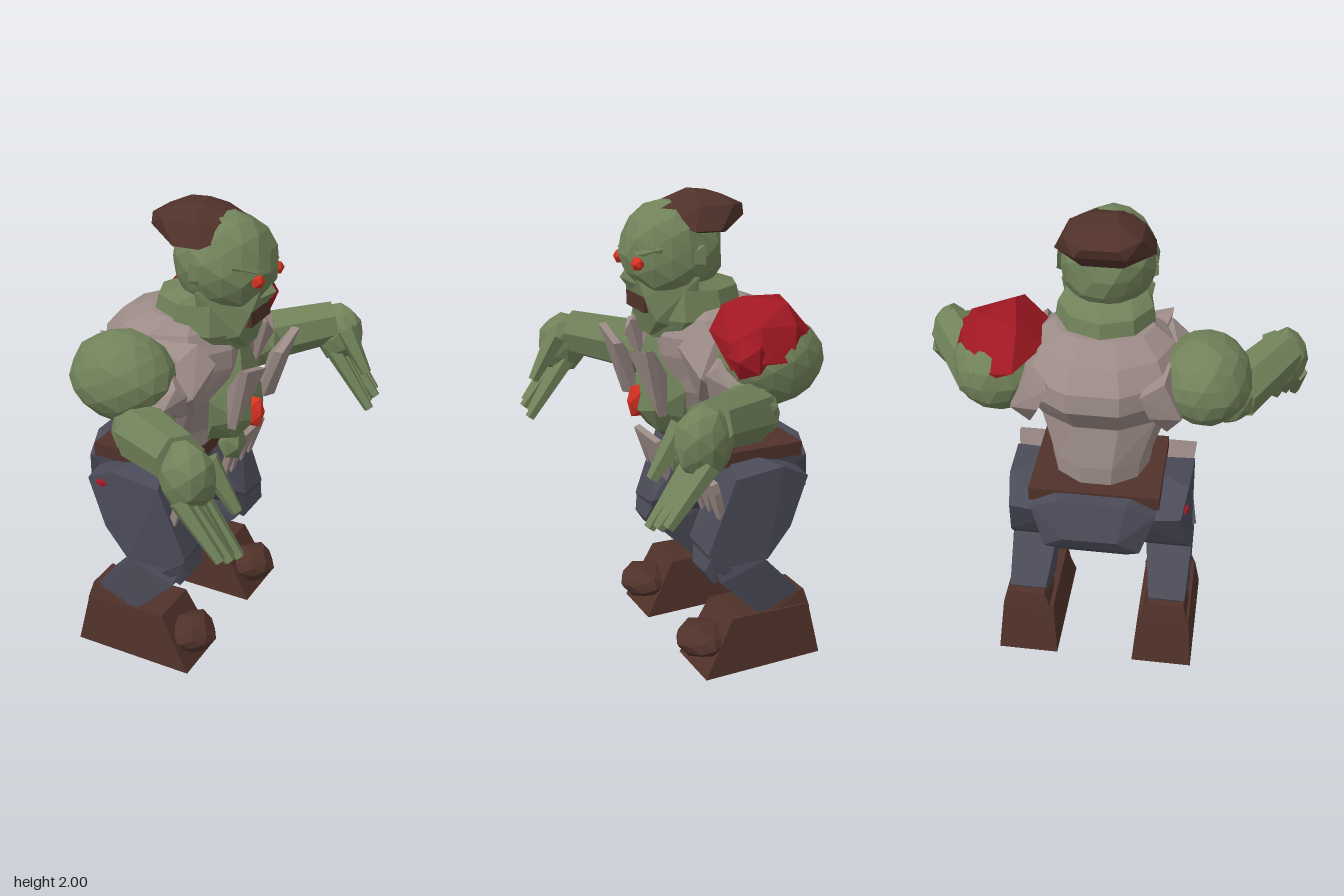
import * as THREE from 'three';
import { ConvexGeometry } from 'three/addons/geometries/ConvexGeometry.js';

const mat = (color) => new THREE.MeshStandardMaterial({ color, flatShading: true, side: THREE.DoubleSide });
const V = (p) => new THREE.Vector3(...p);

export function createModel() {
  const root = new THREE.Group();
  const skin = mat(0x71825a), shirt = mat(0x9c8b87), jeans = mat(0x4b4b59);
  const brown = mat(0x50322a), blood = mat(0xa01822), glow = mat(0xd83222);

  const add = (name, geo, m) => {
    const mesh = new THREE.Mesh(geo, m);
    mesh.name = name;
    root.add(mesh);
    return mesh;
  };

  // Faceted lump; the wobble depends on position so shared corners stay together
  const lump = (name, c, r, m, rough = 0.06, detail = 1) => {
    const g = new THREE.IcosahedronGeometry(1, detail);
    const p = g.attributes.position;
    for (let i = 0; i < p.count; i++) {
      const v = new THREE.Vector3().fromBufferAttribute(p, i);
      const k = 1 + rough * Math.sin(7 * v.x + 11 * v.y + 5 * v.z + c[0] * 9);
      p.setXYZ(i, v.x * r[0] * k + c[0], v.y * r[1] * k + c[1], v.z * r[2] * k + c[2]);
    }
    g.computeVertexNormals();
    return add(name, g, m);
  };

  // Hull over a few corners, z multiplied by the side
  const hull = (name, pts, m, s = 1) =>
    add(name, new ConvexGeometry(pts.map(([x, y, z]) => new THREE.Vector3(x, y, z * s))), m);

  // Same corners on both sides of the middle plane
  const both = (pts) => pts.flatMap(([x, y, z]) => [[x, y, z], [x, y, -z]]);

  // Tapered limb from a to b
  const limb = (name, a, b, ra, rb, m, sides = 7) => {
    const A = V(a), B = V(b), d = B.clone().sub(A);
    const mesh = add(name, new THREE.CylinderGeometry(rb, ra, d.length(), sides), m);
    mesh.position.copy(A).add(B).multiplyScalar(0.5);
    mesh.quaternion.setFromUnitVectors(new THREE.Vector3(0, 1, 0), d.normalize());
    return mesh;
  };

  // Loft through level oval sections [y, xMin, xMax, halfDepth]
  const loft = (name, sections, n, m) => {
    const pos = [], idx = [];
    for (const [y, x0, x1, hz] of sections)
      for (let i = 0; i < n; i++) {
        const t = ((i + 0.5) / n) * Math.PI * 2;
        pos.push((x0 + x1) / 2 + ((x1 - x0) / 2) * Math.cos(t) * 1.03, y, -hz * Math.sin(t) * 1.03);
      }
    for (let j = 0; j < sections.length - 1; j++)
      for (let i = 0; i < n; i++) {
        const a = j * n + i, b = j * n + ((i + 1) % n);
        idx.push(a, b, b + n, a, b + n, a + n);
      }
    const top = (sections.length - 1) * n;
    for (let i = 1; i < n - 1; i++) idx.push(0, i + 1, i, top, top + i, top + i + 1);
    const g = new THREE.BufferGeometry();
    g.setAttribute('position', new THREE.Float32BufferAttribute(pos, 3));
    g.setIndex(idx);
    g.computeVertexNormals();
    return add(name, g, m);
  };

  // Torso, open belly and wound
  loft('torso', [
    [0.88, -0.34, 0.02, 0.19], [1.02, -0.34, 0.05, 0.21], [1.2, -0.31, 0.14, 0.28],
    [1.35, -0.43, 0.18, 0.33], [1.43, -0.42, 0.18, 0.33], [1.51, -0.35, 0.14, 0.28], [1.56, -0.22, 0.08, 0.2],
  ], 10, shirt);
  hull('belly', both([
    [0.18, 1.41, 0.04], [0.1, 1.4, 0.1], [0.21, 1.28, 0.08], [0.1, 1.2, 0.16], [0.22, 1.12, 0.11],
    [0.25, 1.1, 0.03], [0.1, 1.08, 0.14], [0.18, 1.01, 0.06], [0.05, 0.98, 0.08],
  ]), skin);
  lump('wound', [0.24, 1.13, 0.02], [0.05, 0.075, 0.035], glow, 0.1, 0);

  // Neck and head
  loft('neck', [
    [1.42, -0.12, 0.2, 0.15], [1.5, -0.22, 0.22, 0.21], [1.62, -0.19, 0.2, 0.19], [1.66, -0.08, 0.2, 0.16],
  ], 9, skin);
  lump('head', [0.09, 1.76, 0], [0.215, 0.21, 0.2], skin, 0.03, 2);
  hull('jaw', both([
    [0.21, 1.43, 0.05], [0.25, 1.6, 0.09], [0.05, 1.45, 0.15], [0.05, 1.68, 0.19], [0.27, 1.68, 0.06], [0.21, 1.5, 0.12],
  ]), skin);
  hull('nose', [[0.26, 1.74, 0], [0.26, 1.64, 0.035], [0.26, 1.64, -0.035], [0.315, 1.67, 0], [0.27, 1.61, 0]], skin);
  add('mouth', new THREE.BoxGeometry(0.05, 0.065, 0.18), brown).position.set(0.225, 1.565, 0);
  hull('hair', both([
    [-0.12, 1.83, 0.08], [0.02, 1.84, 0.13], [0.07, 1.86, 0.19], [-0.04, 1.86, 0.2], [-0.19, 1.9, 0.1], [-0.2, 1.94, 0.07],
    [-0.12, 1.95, 0.15], [0.03, 1.95, 0.15], [0.14, 1.89, 0.13], [0.16, 1.94, 0.06], [-0.1, 1.985, 0.07], [0, 2, 0.04],
  ]), brown);

  // Belt and the lump hanging at its front
  add('belt', new THREE.BoxGeometry(0.43, 0.06, 0.54), brown).position.set(-0.185, 0.91, 0);
  lump('waistLump', [0.09, 0.9, -0.08], [0.06, 0.085, 0.09], skin, 0.05, 0);

  // Hips
  hull('hips', both([
    [-0.515, 0.78, 0.11], [-0.46, 0.93, 0.14], [-0.42, 0.64, 0.14], [-0.47, 0.7, 0.2], [-0.43, 0.87, 0.26],
    [-0.05, 0.93, 0.24], [-0.02, 0.8, 0.1], [-0.1, 0.64, 0.08], [-0.2, 0.65, 0.2],
  ]), jeans);

  for (const s of [1, -1]) {
    // Face details
    lump('eye', [0.275, 1.735, 0.09 * s], [0.03, 0.03, 0.038], glow, 0.1, 0);
    hull('brow', [[0.2, 1.8, 0.17], [0.29, 1.79, 0.04], [0.24, 1.84, 0.1], [0.28, 1.77, 0.1], [0.2, 1.76, 0.15]], skin, s);
    hull('ear', [[0.08, 1.69, 0.17], [0.06, 1.8, 0.17], [0.03, 1.81, 0.2], [0.03, 1.73, 0.205], [0.13, 1.74, 0.18]], skin, s);

    // Open shirt flap, a thin slab leaning forward at the top
    const flap = [[0.28, 1.42, 0.25], [0.28, 1.37, 0.08], [0.2, 1.3, 0.2], [0.18, 1.13, 0.12], [0.2, 1.12, 0.19]];
    hull('shirtFlap', [...flap, ...flap.map(([x, y, z]) => [x + 0.035, y, z])], shirt, s);

    // Ragged cloth below the belt
    const [z0, z1] = s > 0 ? [0.15, 0.39] : [-0.4, -0.07];
    const shape = new THREE.Shape();
    shape.moveTo(-z0, 0);
    shape.lineTo(-z1, 0);
    for (let i = 0; i < 4; i++) {
      const at = (f) => -z1 + (z1 - z0) * (i + f) / 4;
      shape.lineTo(at(0.35), i % 2 ? -0.23 : -0.19);
      shape.lineTo(at(0.55), i % 2 ? -0.25 : -0.2);
      shape.lineTo(at(1), i < 3 ? -0.07 : -0.05);
    }
    const cloth = add('raggedCloth', new THREE.ExtrudeGeometry(shape, { depth: 0.03, bevelEnabled: false }).rotateY(Math.PI / 2), shirt);
    cloth.position.set(0.07, 0.88, 0);
    cloth.rotation.z = -0.3;

    // Sleeve, shoulder and arm
    hull('sleeve', [
      [-0.4, 1.43, 0.18], [-0.39, 1.33, 0.22], [-0.34, 1.46, 0.27], [-0.34, 1.3, 0.34], [-0.26, 1.18, 0.28], [-0.05, 1.18, 0.36],
      [-0.1, 1.5, 0.3], [0.1, 1.5, 0.26], [0.17, 1.42, 0.24], [0.14, 1.32, 0.38], [0.1, 1.2, 0.28], [0.06, 1.45, 0.34],
    ], shirt, s);
    lump('shoulder', [-0.145, 1.38, 0.42 * s], [0.22, 0.185, 0.185], skin, 0.02, 2);
    hull('tornCuff', [
      [0.02, 1.44, 0.36], [0.13, 1.34, 0.4], [0.1, 1.38, 0.44], [0.1, 1.23, 0.38], [-0.05, 1.24, 0.48], [0, 1.3, 0.54], [0.08, 1.31, 0.5],
    ], shirt, s);
    lump('elbow', [0, 1.21, 0.51 * s], [0.13, 0.125, 0.13], skin);
    limb('forearm', [0, 1.21, 0.53 * s], [0.28, 1.265, 0.73 * s], 0.12, 0.1, skin);
    lump('hand', [0.31, 1.21, 0.74 * s], [0.115, 0.14, 0.095], skin);
    for (let i = 0; i < 4; i++) {
      const z = (0.685 + i * 0.04) * s;
      limb('finger', [0.31, 1.14, z], [0.5 - 0.02 * (i % 2), 0.885 + 0.015 * i, z], 0.04, 0.023, skin, 5);
    }
    limb('thumb', [0.36, 1.26, 0.68 * s], [0.48, 1.07, 0.67 * s], 0.05, 0.024, skin, 5);

    // Trouser leg
    hull('thigh', [
      [-0.41, 0.82, 0.16], [-0.38, 0.82, 0.36], [-0.25, 0.89, 0.38], [-0.1, 0.92, 0.12], [-0.02, 0.87, 0.39],
      [-0.3, 0.62, 0.18], [-0.29, 0.61, 0.38], [-0.1, 0.65, 0.09], [0.1, 0.57, 0.2], [0.1, 0.55, 0.38],
      [0.07, 0.47, 0.24], [0.07, 0.47, 0.38], [-0.17, 0.49, 0.2], [-0.17, 0.49, 0.4],
    ], jeans, s);
    hull('knee', [
      [0.11, 0.47, 0.25], [0.11, 0.47, 0.36], [0.09, 0.54, 0.21], [0.09, 0.54, 0.39],
      [0.07, 0.41, 0.25], [0.07, 0.41, 0.37], [0, 0.48, 0.19], [0, 0.48, 0.41],
    ], jeans, s);
    hull('shin', [
      [0.07, 0.48, 0.22], [0.07, 0.48, 0.38], [0.05, 0.42, 0.21], [0.05, 0.42, 0.4], [-0.16, 0.49, 0.2], [-0.16, 0.49, 0.4],
      [-0.14, 0.23, 0.22], [-0.14, 0.23, 0.4], [-0.33, 0.31, 0.23], [-0.33, 0.31, 0.39], [-0.3, 0.23, 0.23], [-0.3, 0.23, 0.39],
    ], jeans, s);

    // Boot with ragged top and round toe
    hull('boot', [
      [-0.42, 0, 0.17], [-0.42, 0, 0.435], [0.135, 0, 0.17], [0.135, 0, 0.435],
      [-0.37, 0.24, 0.19], [-0.37, 0.24, 0.415], [0, 0.25, 0.19], [0, 0.25, 0.415],
    ], brown, s);
    hull('bootCuff', [
      [-0.36, 0.3, 0.23], [-0.36, 0.3, 0.39], [-0.23, 0.3, 0.25], [-0.23, 0.3, 0.38],
      [-0.38, 0.22, 0.2], [-0.38, 0.22, 0.41], [-0.17, 0.22, 0.2], [-0.17, 0.22, 0.41],
    ], brown, s);
    lump('bootToe', [0.09, 0.13, 0.305 * s], [0.11, 0.08, 0.12], brown, 0.1);
  }

  // Torn flesh on the right shoulder and hip
  hull('shoulderWound', [
    [-0.36, 1.47, -0.32], [-0.34, 1.44, -0.48], [-0.24, 1.61, -0.32], [-0.05, 1.63, -0.36], [-0.18, 1.62, -0.48], [0.03, 1.6, -0.34],
    [-0.2, 1.51, -0.22], [0, 1.51, -0.23], [0.08, 1.5, -0.33], [0.07, 1.48, -0.48], [-0.18, 1.54, -0.56], [-0.03, 1.55, -0.55],
    [-0.32, 1.38, -0.5], [0.07, 1.38, -0.5], [-0.15, 1.41, -0.6], [-0.02, 1.42, -0.6],
  ], blood);
  lump('shoulderWoundEdge', [0, 1.43, -0.53], [0.09, 0.09, 0.075], blood, 0.1, 0);
  lump('hipWound', [-0.3, 0.82, 0.36], [0.04, 0.02, 0.03], blood, 0.1, 0);

  return root;
}
